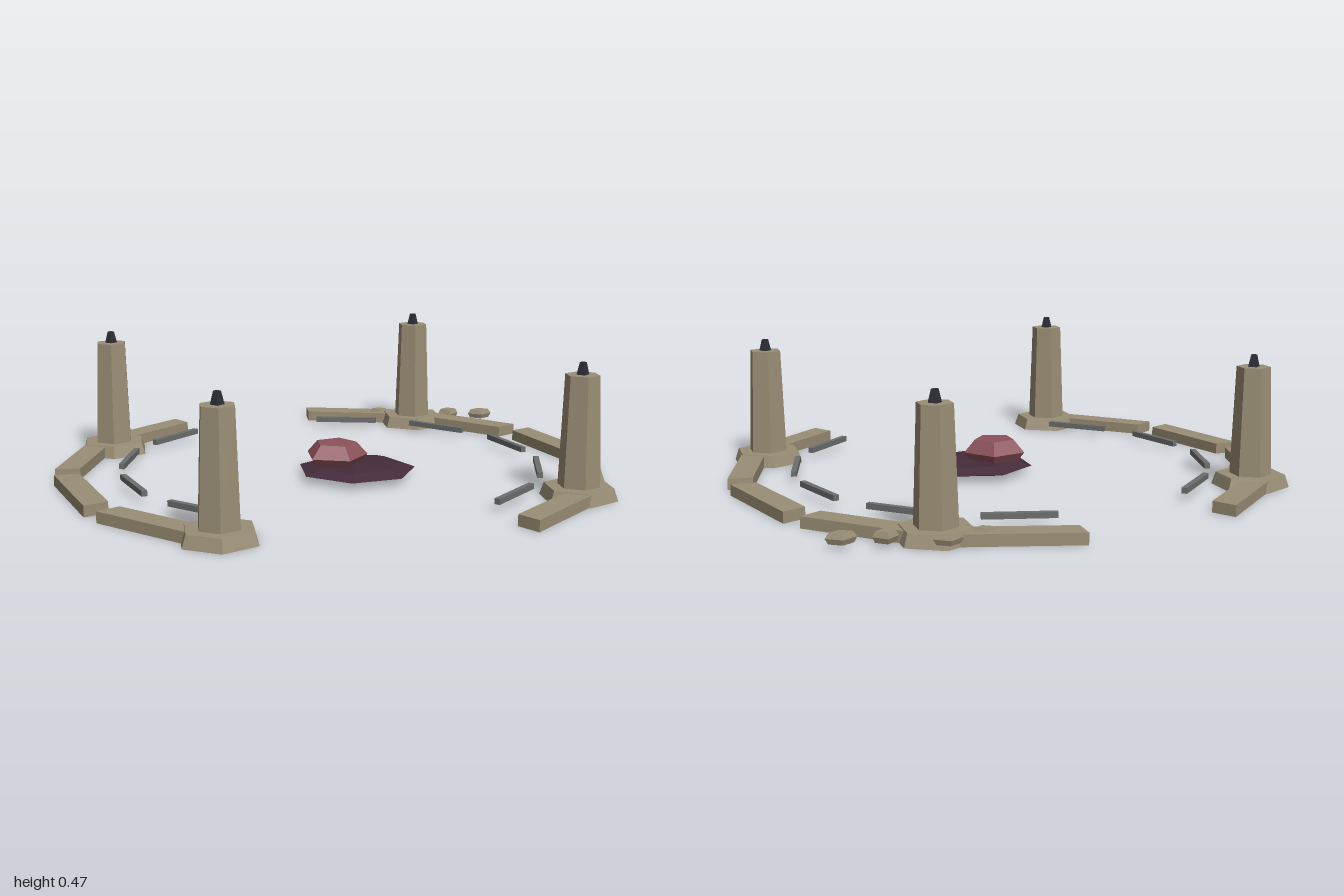
import * as THREE from 'three';

const mat = (name, color) => {
  const m = new THREE.MeshStandardMaterial({ color, flatShading: true });
  m.name = name;
  return m;
};
const RING_Z = 0.03;
const rad = THREE.MathUtils.degToRad;
// Angles run from +x towards +z
const polar = (r, deg) => new THREE.Vector2(r * Math.cos(rad(deg)), r * Math.sin(rad(deg)));

export function createModel() {
  const stone = mat('sandy stone', 0x9a8e75);
  const iron = mat('grey metal', 0x6b6e6c);
  const dark = mat('dark tip', 0x2e2e36);
  const plum = mat('dark plum', 0x452c3b);
  const rose = mat('rose crystal', 0x8c525a);

  const model = new THREE.Group();
  model.name = 'pillarRing';
  const add = (parent, name, geo, material, x = 0, y = 0, z = 0) => {
    const mesh = new THREE.Mesh(geo, material);
    mesh.name = name;
    mesh.position.set(x, y, z);
    parent.add(mesh);
    return mesh;
  };
  const frustum = (top, bottom, h, sides) => new THREE.CylinderGeometry(top, bottom, h, sides);
  const lathe = (points, sides) =>
    new THREE.LatheGeometry(points.map(([r, y]) => new THREE.Vector2(r, y)), sides);

  // Broken ring of wall segments with radial ends, each with an inner rail
  const ring = new THREE.Group();
  ring.name = 'ring';
  ring.position.z = RING_Z;
  model.add(ring);
  const wallShape = new THREE.Shape([polar(0.91, 1.8), polar(1, 1.8), polar(1, 27), polar(0.91, 27)]);
  const wallGeo = new THREE.ExtrudeGeometry(wallShape, { depth: 0.04, bevelEnabled: false });
  wallGeo.rotateX(Math.PI / 2).translate(0, 0.04, 0);
  const railGeo = new THREE.BoxGeometry(0.02, 0.02, 0.248);
  for (const k of [0, 1, 4, 5, 6, 7, 9, 10, 11]) {
    add(ring, 'wallSegment', wallGeo, stone).rotation.y = -rad(30 * k);
    const p = polar(0.753, 30 * k + 12.8);
    add(ring, 'innerRail', railGeo, iron, p.x, 0.038, p.y).rotation.y = -rad(30 * k + 12.8);
  }

  // Four hexagonal pillars with dark tips
  for (const deg of [30, 120, 210, 300]) {
    const p = polar(0.916, deg);
    const pillar = new THREE.Group();
    pillar.name = 'pillar';
    pillar.position.set(p.x, 0, p.y);
    ring.add(pillar);
    add(pillar, 'pillarBase', frustum(0.122, 0.137, 0.044, 6), stone, 0, 0.022, 0);
    add(pillar, 'pillarShaft', frustum(0.06, 0.074, 0.388, 6), stone, 0, 0.236, 0);
    add(pillar, 'pillarTip', frustum(0.012, 0.023, 0.045, 4), dark, 0, 0.45, 0);
  }

  // Loose rubble beside the rear pillar: x, z, half width, half depth
  for (const [x, z, w, d] of [
    [0.33, -0.85, 0.04, 0.026], [0.45, -0.88, 0.048, 0.034],
    [0.625, -0.8, 0.042, 0.037], [0.757, -0.775, 0.05, 0.033],
  ]) {
    const chunk = add(model, 'rubble', lathe([[0, -0.018], [0.8, -0.018], [1, 0], [0.75, 0.018], [0, 0.018]], 4),
      stone, x, 0.034, z);
    chunk.scale.set(w, 1, d);
  }

  // Seven-sided slab in the middle
  add(model, 'centreSlab',
    lathe([[0, 0.006], [0.154, 0.012], [0.217, 0.027], [0.154, 0.045], [0, 0.051]], 7),
    plum, 0.085, 0, 0.086).rotation.y = Math.PI / 2;

  // Five-sided crystal lying on the slab
  add(model, 'crystal',
    lathe([[0, 0.035], [0.085, 0.035], [0.117, 0.077], [0.076, 0.123], [0, 0.123]], 5),
    rose, 0.012, 0, 0.066).rotation.y = Math.PI / 2;

  return model;
}
